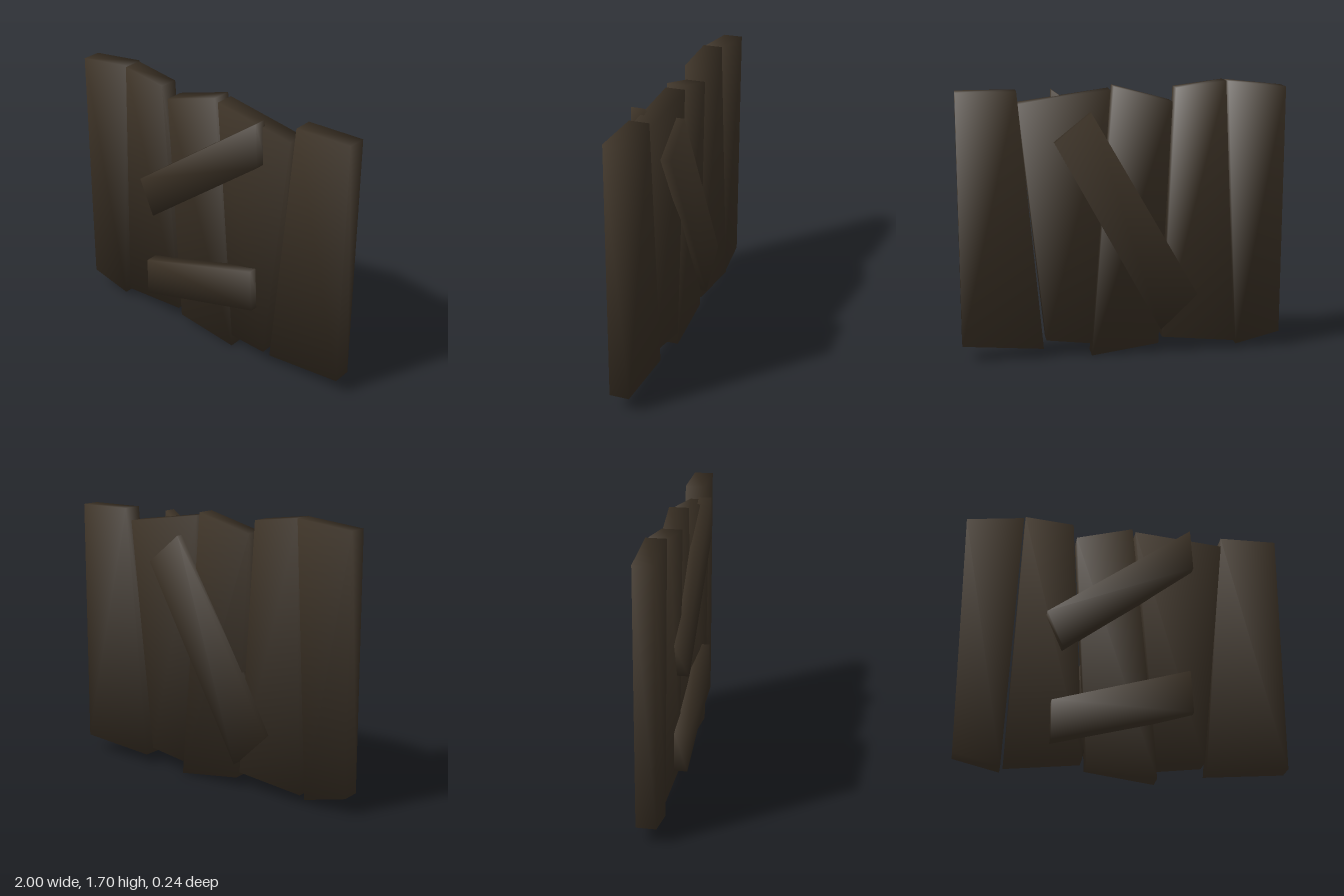
import * as THREE from 'three';

// Four-cornered board: corners run top left, top right, bottom right, bottom left as [x, y, zMiddle].
function board(name, corners, thickness, material) {
  const position = [], normal = [], index = [];
  const points = corners.map(([x, y]) => new THREE.Vector2(x, y));
  for (const side of [1, -1]) {
    corners.forEach(([x, y, z], i) => {
      position.push(x, y, z + side * thickness / 2);
      // soft rounded normal pointing out of the corner
      const p = points[i];
      const a = p.clone().sub(points[(i + 1) % 4]).normalize();
      const b = p.clone().sub(points[(i + 3) % 4]).normalize();
      const n = new THREE.Vector3(a.x + b.x, a.y + b.y, side).normalize();
      normal.push(n.x, n.y, n.z);
    });
  }
  index.push(0, 3, 2, 0, 2, 1, 4, 5, 6, 4, 6, 7);
  for (let i = 0; i < 4; i++) {
    const j = (i + 1) % 4;
    index.push(i, j, j + 4, i, j + 4, i + 4);
  }
  const geometry = new THREE.BufferGeometry();
  geometry.setAttribute('position', new THREE.Float32BufferAttribute(position, 3));
  geometry.setAttribute('normal', new THREE.Float32BufferAttribute(normal, 3));
  geometry.setIndex(index);
  const mesh = new THREE.Mesh(geometry, material);
  mesh.name = name;
  return mesh;
}

export function createModel() {
  const group = new THREE.Group();
  group.name = 'boardedPanel';
  const wood = new THREE.MeshStandardMaterial({ color: 0x3c3226 });
  wood.name = 'darkWood';

  // upright planks, some slightly twisted
  const planks = [
    [[-1, 1.66, -0.02], [-0.64, 1.7, -0.02], [-0.72, 0.03, -0.02], [-1, 0.1, -0.02]],
    [[-0.63, 1.7, -0.005], [-0.325, 1.66, 0.01], [-0.245, 0.1, -0.02], [-0.7, 0.06, -0.04]],
    [[-0.3, 1.58, -0.01], [0.06, 1.68, -0.02], [0.2, 0, -0.02], [-0.22, 0.06, -0.02]],
    [[0.08, 1.66, -0.02], [0.63, 1.58, 0.015], [0.48, 0.1, 0.02], [0.2, 0.08, -0.02]],
    [[0.64, 1.66, -0.02], [1, 1.66, -0.02], [1, 0.1, -0.02], [0.5, 0.06, -0.02]],
  ];
  planks.forEach((c, i) => group.add(board(`plank${i + 1}`, c, 0.12, wood)));

  // cross boards nailed over the front and back
  const braces = {
    upperFrontBrace: [[-0.48, 1.01, 0.08], [0.42, 1.65, 0.08], [0.435, 1.38, 0.08], [-0.38, 0.78, 0.08]],
    lowerFrontBrace: [[-0.44, 0.43, 0.08], [0.4, 0.67, 0.08], [0.415, 0.4, 0.08], [-0.44, 0.18, 0.08]],
    backBrace: [[0.2, 1.53, -0.08], [0.42, 1.35, -0.08], [-0.23, 0.16, -0.08], [-0.46, 0.38, -0.08]],
  };
  for (const [name, c] of Object.entries(braces)) group.add(board(name, c, 0.08, wood));
  return group;
}
